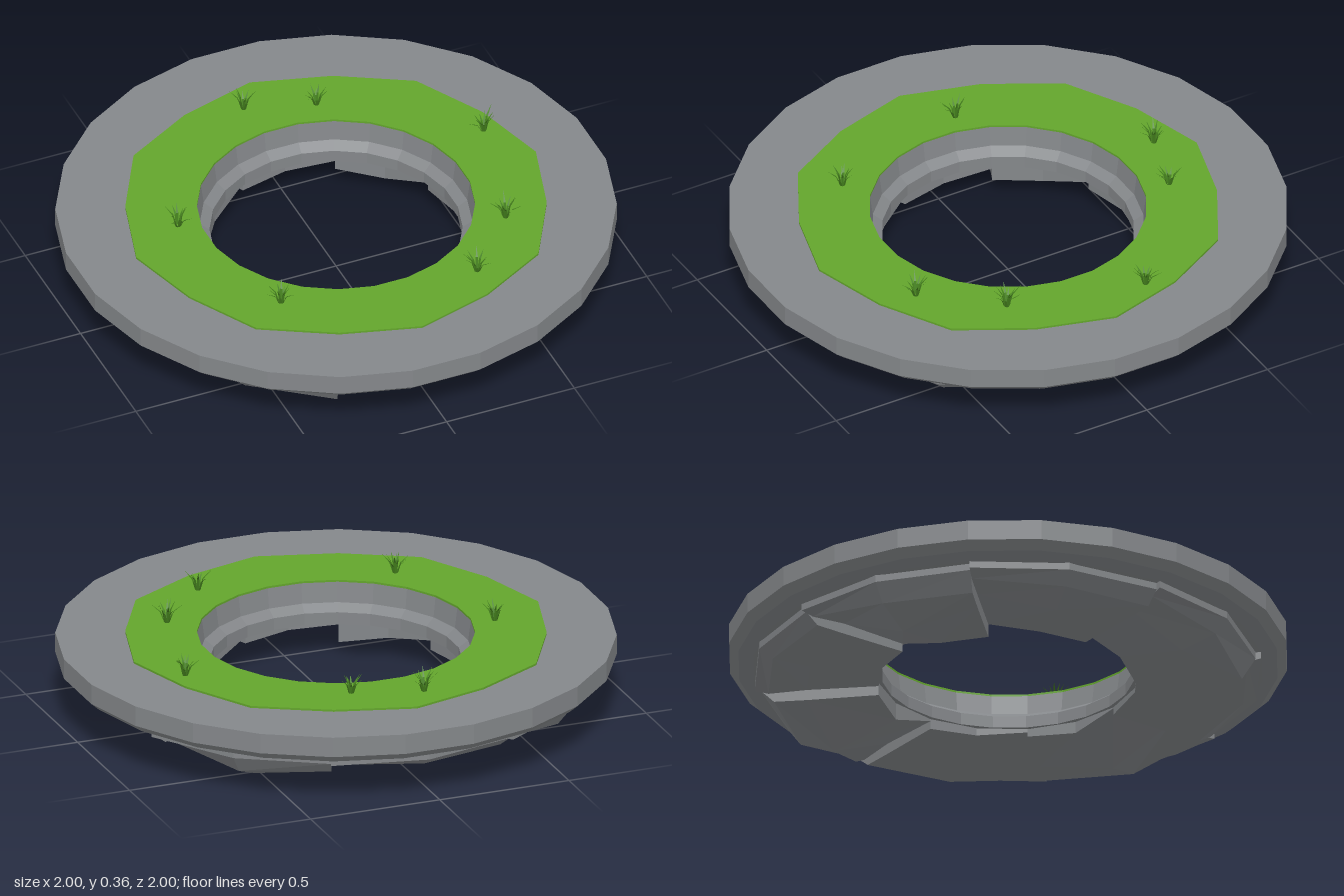
import * as THREE from 'three';

const stone = new THREE.MeshStandardMaterial({ color: 0x84878a });
const turf = new THREE.MeshStandardMaterial({ color: 0x63a52c });
const blade = new THREE.MeshStandardMaterial({ color: 0x44801d, side: THREE.DoubleSide });
stone.name = 'stone';
turf.name = 'turf';
blade.name = 'grassBlade';

const rad = THREE.MathUtils.degToRad;
const polar = (r, deg, y) => [r * Math.sin(rad(deg)), y, r * Math.cos(rad(deg))];

function addMesh(group, name, geometry, material) {
  const g = geometry.index ? geometry.toNonIndexed() : geometry;
  g.computeVertexNormals(); // faceted look
  const mesh = new THREE.Mesh(g, material);
  mesh.name = name;
  group.add(mesh);
}

function fromTriangles(positions) {
  const g = new THREE.BufferGeometry();
  g.setAttribute('position', new THREE.Float32BufferAttribute(positions, 3));
  return g;
}

// Solid lofted through closed loops of equal length
function loft(loops) {
  const out = [];
  const tri = (a, b, c) => out.push(...a, ...b, ...c);
  const n = loops[0].length;
  for (let i = 0; i < loops.length - 1; i++) {
    const A = loops[i], B = loops[i + 1];
    for (let j = 0; j < n; j++) {
      const k = (j + 1) % n;
      tri(A[j], B[j], B[k]);
      tri(A[j], B[k], A[k]);
    }
  }
  const first = loops[0], last = loops[loops.length - 1];
  for (let j = 1; j < n - 1; j++) {
    tri(first[0], first[j], first[j + 1]);
    tri(last[0], last[j + 1], last[j]);
  }
  return fromTriangles(out);
}

// One wedge of rough rock; depths are its lowest heights at start, middle and end
function rockWedge(startDeg, depths) {
  return loft(depths.map((y, i) => {
    const toward = (h, w) => h + (y - h) * w;
    const w = i === 2 ? 0.95 : 0.45;
    const rOut = i === 2 ? 0.88 : 0.9;
    const profile = [
      [0.47, 0.17], [0.47, toward(0.115, w)], [0.73, y],
      [rOut - 0.03, toward(0.11, w)], [rOut + 0.02, 0.13], [rOut + 0.02, 0.17],
    ];
    return profile.map(([r, h]) => polar(r, startDeg + i * 22.5, h));
  }));
}

// A tuft of thin blades bending outward
function tuftGeometry(seed) {
  let s = seed * 7919 + 17;
  const rnd = () => (s = (s * 16807) % 2147483647) / 2147483647;
  const out = [];
  const count = 12;
  for (let i = 0; i < count; i++) {
    const deg = (i + rnd() * 0.7) * 360 / count;
    const reach = 0.02 + 0.035 * rnd(), height = 0.05 + 0.035 * rnd();
    const side = polar(0.0045, deg + 90, 0);
    const rows = [[0.008, 0, 1], [0.008 + reach * 0.3, 0.6, 0.9], [0.008 + reach, 1, 0]].map(([r, h, w]) => {
      const c = polar(r, deg, h * height);
      return [-1, 1].map((d) => [c[0] + d * w * side[0], c[1], c[2] + d * w * side[2]]);
    });
    const [a, b, c] = rows;
    out.push(...a[0], ...a[1], ...b[1], ...a[0], ...b[1], ...b[0], ...b[0], ...b[1], ...c[0]);
  }
  return fromTriangles(out);
}

export function createModel() {
  const model = new THREE.Group();
  model.name = 'floatingStoneRing';

  // Stone ring with a chamfered rim and a stepped hole
  const profile = [
    [0.455, 0.13], [0.52, 0.13], [0.53, 0.155], [0.92, 0.155], [0.975, 0.17], [1.0086, 0.2], [1.0086, 0.275],
    [0.5, 0.275], [0.49, 0.2], [0.455, 0.175], [0.455, 0.13],
  ].map(([x, y]) => new THREE.Vector2(x, y));
  addMesh(model, 'stoneRing', new THREE.LatheGeometry(profile, 24, rad(7.5)), stone);

  // Stepped rock wedges under the ring
  const rocks = new THREE.Group();
  rocks.name = 'undersideRocks';
  [
    [0.14, 0.05, 0.10], [0.12, 0.085, 0.09], [0.13, 0.003, 0.08], [0.12, 0.08, 0.09],
    [0.13, 0.01, 0.06], [0.11, 0.055, 0.08], [0.12, 0.05, 0.05], [0.13, 0.11, 0.10],
  ].forEach((depths, i) => addMesh(rocks, 'rockWedge', rockWedge(22 + i * 45, depths), stone));
  model.add(rocks);

  // Thin turf ring with an uneven outer edge
  const ring = (n, radius, turn) => Array.from({ length: n }, (_, i) => {
    const a = (i + turn) / n * Math.PI * 2;
    return new THREE.Vector2(radius(i) * Math.cos(a), radius(i) * Math.sin(a));
  });
  const shape = new THREE.Shape(ring(16, (i) => (i % 2 ? 0.757 : 0.782), 0));
  shape.holes.push(new THREE.Path(ring(24, () => 0.5, 0.5)));
  const turfGeometry = new THREE.ExtrudeGeometry(shape, { depth: 0.008, bevelEnabled: false });
  turfGeometry.rotateX(-Math.PI / 2).translate(0, 0.2745, 0);
  addMesh(model, 'turf', turfGeometry, turf);

  // Grass tufts
  const tufts = new THREE.Group();
  tufts.name = 'grassTufts';
  [[-0.08, -0.65], [0.17, -0.57], [0.66, -0.19], [0.53, 0.31], [0.31, 0.56], [-0.41, 0.45], [-0.57, -0.11]]
    .forEach(([x, z], i) => addMesh(tufts, 'grassTuft', tuftGeometry(i + 1).translate(x, 0.28, z), blade));
  model.add(tufts);

  return model;
}
